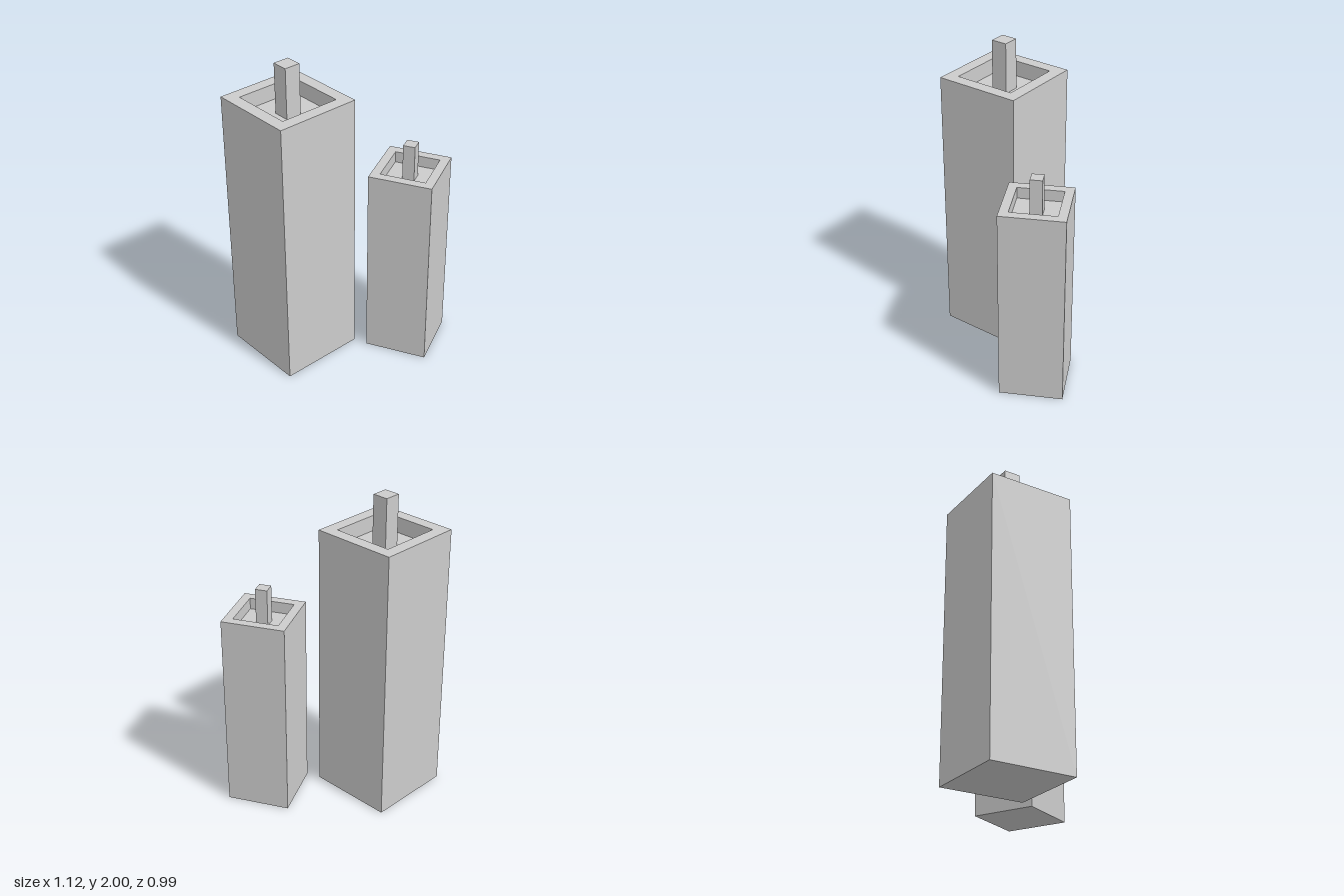
import * as THREE from 'three';

const material = new THREE.MeshStandardMaterial({ color: 0xcccccc, flatShading: true });

// Square candle: hollow-topped wax body with a square wick standing in the recess
function makeCandle(name) {
  const candle = new THREE.Group();
  candle.name = name;
  const height = 1.777, depth = 0.1, wickTop = 2;
  const outer = 0.553 * Math.SQRT1_2, inner = 0.397 * Math.SQRT1_2; // corner radii

  // Wax body: a four-sided lathe gives one closed shell with rim and recess
  const profile = [
    [0, 0], [outer, 0], [outer, height],
    [inner, height], [inner, height - depth], [0, height - depth],
  ].map(([r, y]) => new THREE.Vector2(r, y));
  const wax = new THREE.Mesh(new THREE.LatheGeometry(profile, 4, Math.PI / 4), material);
  wax.name = 'waxBody';

  // Wick
  const wickHeight = wickTop - (height - depth);
  const wick = new THREE.Mesh(new THREE.BoxGeometry(0.104, wickHeight, 0.104), material);
  wick.position.y = wickTop - wickHeight / 2;
  wick.name = 'wick';

  candle.add(wax, wick);
  return candle;
}

export function createModel() {
  const model = new THREE.Group();
  model.name = 'candlePair';

  const tall = makeCandle('tallCandle');
  tall.position.set(-0.284, 0, -0.221);

  // The short candle is a smaller, turned copy
  const short = makeCandle('shortCandle');
  short.position.set(0.291, 0, 0.227);
  short.rotation.y = THREE.MathUtils.degToRad(27);
  short.scale.setScalar(0.723);

  model.add(tall, short);
  return model;
}
